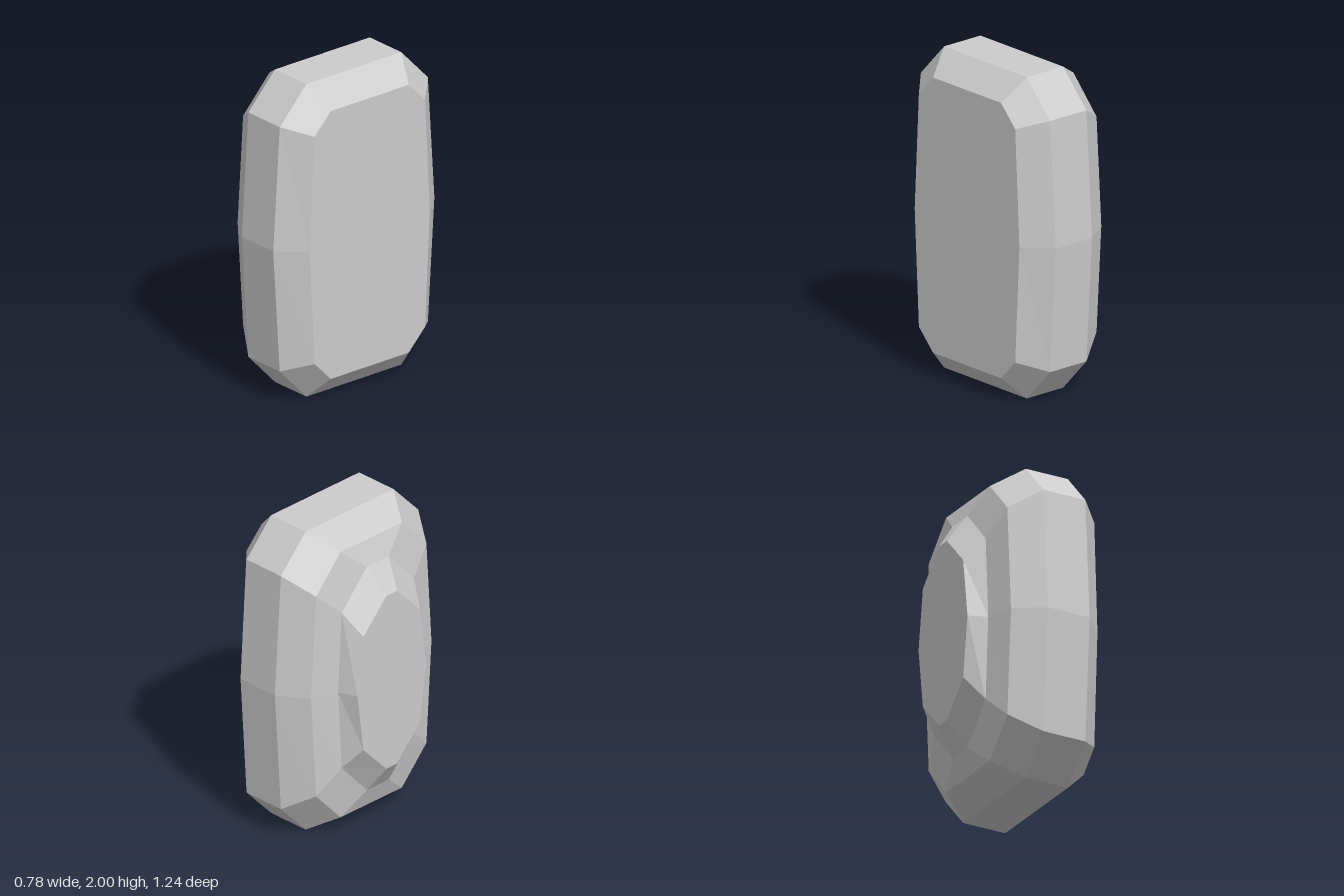
import * as THREE from 'three';

// Cross-sections along x: [x, top half-height, top half-width, corner half-height, corner half-width, waist half-width]
const SECTIONS = [
  [-0.39, 0.58, 0.045, 0.38, 0.235, 0.285],
  [-0.275, 0.75, 0.09, 0.52, 0.3, 0.33],
  [-0.22, 0.89, 0.255, 0.67, 0.458, 0.5],
  [-0.04, 1, 0.365, 0.782, 0.57, 0.62],
  [0.245, 1, 0.365, 0.782, 0.57, 0.62],
  [0.39, 0.857, 0.3, 0.727, 0.425, 0.462],
];

// Ten-sided ring with chamfered corners and slightly bulging sides
function ring([x, topY, topZ, cornerY, cornerZ, waistZ]) {
  const half = [[waistZ, 0], [cornerZ, -cornerY], [topZ, -topY], [-topZ, -topY], [-cornerZ, -cornerY]];
  return [...half, ...half.map(([z, y]) => [-z, -y])].map(([z, y]) => new THREE.Vector3(x, 1 + y, z));
}

// Skin between consecutive rings, closed by a flat cap at both ends
function loft(rings) {
  const pos = [];
  const tri = (...points) => points.forEach((p) => pos.push(p.x, p.y, p.z));
  const n = rings[0].length;
  for (let r = 0; r < rings.length - 1; r++) {
    const a = rings[r], b = rings[r + 1];
    for (let i = 0; i < n; i++) {
      const j = (i + 1) % n;
      tri(a[i], a[j], b[j]);
      tri(a[i], b[j], b[i]);
    }
  }
  const first = rings[0], last = rings[rings.length - 1];
  for (let i = 1; i < n - 1; i++) {
    tri(last[0], last[i], last[i + 1]);
    tri(first[0], first[i + 1], first[i]);
  }
  const geometry = new THREE.BufferGeometry();
  geometry.setAttribute('position', new THREE.Float32BufferAttribute(pos, 3));
  geometry.computeVertexNormals();
  return geometry;
}

export function createModel() {
  const group = new THREE.Group();
  group.name = 'facetedPod';
  const material = new THREE.MeshStandardMaterial({ color: 0xcccccc, flatShading: true });
  // Chamfered shell with a narrow neck on the -x side
  const shell = new THREE.Mesh(loft(SECTIONS.map(ring)), material);
  shell.name = 'shell';
  group.add(shell);
  return group;
}
